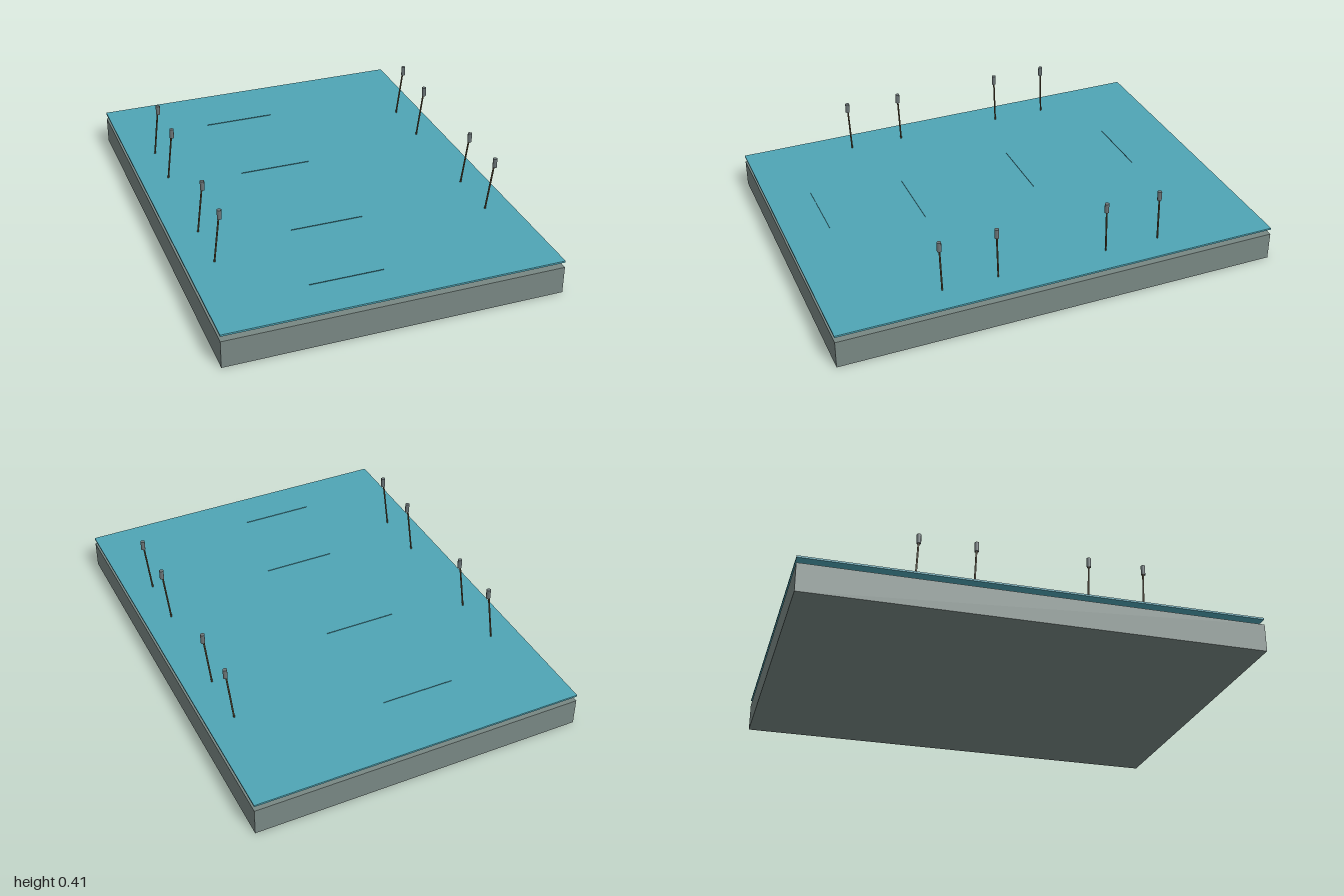
import * as THREE from 'three';

const mat = (name, color, side = THREE.FrontSide) => {
  const m = new THREE.MeshStandardMaterial({ color, side });
  m.name = name;
  return m;
};

export function createModel() {
  const group = new THREE.Group();
  const stone = mat('stone grey', 0x788783);
  const water = mat('water teal', 0x4fa5b5);
  const ripple = mat('ripple teal', 0x3f8794, THREE.DoubleSide);
  const stemMat = mat('stem brown', 0x5e5238);
  const headMat = mat('head grey', 0x6c7678);

  const add = (parent, name, geometry, material, x, y, z) => {
    const mesh = new THREE.Mesh(geometry, material);
    mesh.name = name;
    mesh.position.set(x, y, z);
    parent.add(mesh);
    return mesh;
  };

  // Bed with the water sheet floating just above it
  add(group, 'bed', new THREE.BoxGeometry(1.5, 0.125, 2), stone, 0, 0.0625, 0);
  add(group, 'waterSheet', new THREE.BoxGeometry(1.5, 0.008, 2), water, 0, 0.153, 0);

  // Upright hairline ripples
  const rippleGeo = new THREE.PlaneGeometry(0.33, 0.004);
  for (const [x, z] of [[-0.15, 0.8], [-0.08, 0.38], [-0.13, -0.17], [-0.145, -0.69]]) {
    add(group, 'ripple', rippleGeo, ripple, x, 0.158, z);
  }

  // Leaning reeds in a row along each long side
  const foot = new THREE.Vector3(0, 0.15, 0);
  const tip = new THREE.Vector3(0.025, 0.413, 0.019);
  const lean = tip.clone().sub(foot);
  const stemGeo = new THREE.CylinderGeometry(0.004, 0.004, lean.length(), 8);
  const headGeo = new THREE.CylinderGeometry(0.01, 0.01, 0.043, 8);
  for (const x of [-0.625, 0.625]) {
    for (const z of [-0.5, -0.25, 0.25, 0.5]) {
      const reed = new THREE.Group();
      reed.name = 'reed';
      reed.position.set(x, 0, z);
      const mid = foot.clone().lerp(tip, 0.5);
      const stem = add(reed, 'reedStem', stemGeo, stemMat, mid.x, mid.y, mid.z);
      stem.quaternion.setFromUnitVectors(new THREE.Vector3(0, 1, 0), lean.clone().normalize());
      add(reed, 'reedHead', headGeo, headMat, 0.024, 0.3925, 0.018);
      group.add(reed);
    }
  }
  return group;
}
